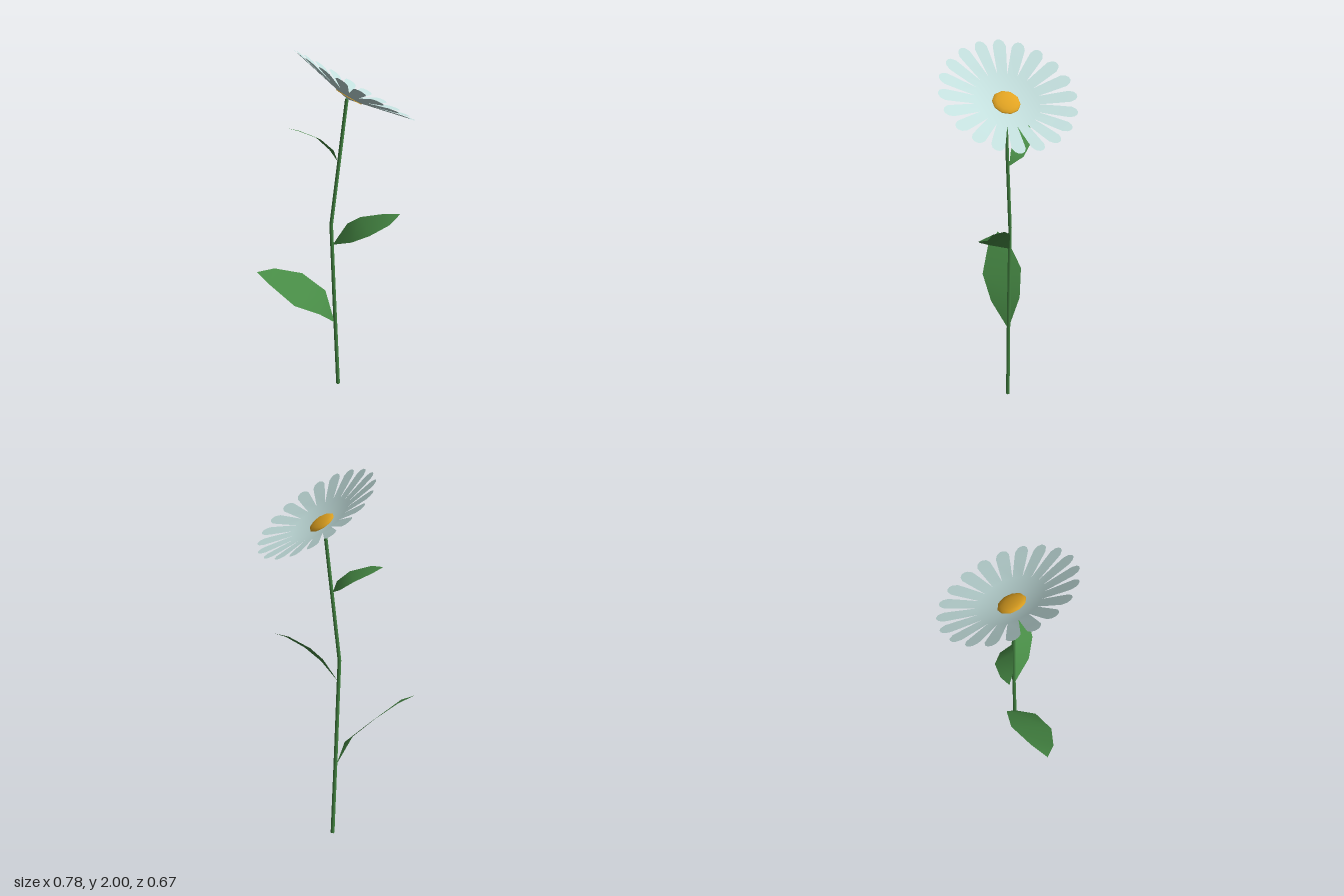
import * as THREE from 'three';
import { mergeGeometries, mergeVertices } from 'three/addons/utils/BufferGeometryUtils.js';

const colour = (name, hex, side = THREE.FrontSide) => {
  const m = new THREE.MeshStandardMaterial({ color: hex, side });
  m.name = name;
  return m;
};

// Smooth sheet spanned between two edges with equal point counts
function ribbon(a, b) {
  const index = [];
  for (let i = 0; i < a.length - 1; i++) {
    const p = 2 * i;
    index.push(p, p + 1, p + 2, p + 1, p + 3, p + 2);
  }
  const g = new THREE.BufferGeometry();
  g.setAttribute('position', new THREE.Float32BufferAttribute(a.flatMap((p, i) => [...p, ...b[i]]), 3));
  g.setIndex(index);
  return g;
}

function addMesh(parent, name, geometry, material) {
  const mesh = new THREE.Mesh(geometry, material);
  mesh.name = name;
  parent.add(mesh);
  return mesh;
}

export function createModel() {
  const root = new THREE.Group();
  root.name = 'daisy';
  const stemGreen = colour('stem green', 0x478a45);
  const leafGreen = colour('leaf green', 0x478a45, THREE.DoubleSide);
  const petalWhite = colour('petal pale blue', 0xc4e0de, THREE.DoubleSide);
  const yellow = colour('centre yellow', 0xe2a422);

  // Stem: a thin cylinder with its rings moved onto a bent path
  const path = [[0.038, 0, -0.032], [0.02, 0.55, -0.042], [0.006, 1.05, -0.053], [0.066, 1.757, 0]];
  const stem = new THREE.CylinderGeometry(0.009, 0.011, path.length - 1, 6, path.length - 1);
  const pos = stem.attributes.position;
  for (let i = 0; i < pos.count; i++) {
    const [x, y, z] = path[Math.round(pos.getY(i) + (path.length - 1) / 2)];
    pos.setXYZ(i, pos.getX(i) + x, y, pos.getZ(i) + z);
  }
  addMesh(root, 'stem', stem, stemGreen);

  // Leaves: base, three points on each edge, tip
  const leaves = {
    lowerLeaf: {
      base: [0.02, 0.43, -0.04], tip: [-0.392, 0.82, -0.14],
      a: [[-0.1, 0.555, 0.015], [-0.245, 0.65, 0.01], [-0.35, 0.77, -0.065]],
      b: [[0.0, 0.605, -0.115], [-0.115, 0.72, -0.17], [-0.28, 0.8, -0.163]],
    },
    middleLeaf: {
      base: [0.012, 0.93, -0.048], tip: [0.285, 1.157, 0.18],
      a: [[0.085, 1.055, -0.02], [0.135, 1.105, 0.03], [0.22, 1.148, 0.125]],
      b: [[0.055, 1.0, 0.085], [0.12, 1.06, 0.16], [0.212, 1.12, 0.2]],
    },
    upperLeaf: {
      base: [0.035, 1.415, -0.035], tip: [-0.162, 1.57, -0.204],
      a: [[0.018, 1.475, -0.048], [-0.035, 1.53, -0.085], [-0.125, 1.567, -0.153]],
      b: [[0.028, 1.45, -0.115], [-0.02, 1.505, -0.18], [-0.1, 1.545, -0.208]],
    },
  };
  for (const [name, { base, tip, a, b }] of Object.entries(leaves)) {
    const g = ribbon([base, ...a, tip], [base, ...b, tip]);
    g.computeVertexNormals();
    addMesh(root, name, g, leafGreen);
  }

  // Flower head, tilted towards +x
  const head = new THREE.Group();
  head.name = 'flowerHead';
  head.position.set(0.07, 1.753, 0);
  head.rotation.z = -0.588;
  root.add(head);

  // Petals: twenty tapered strips joined near the centre into a shallow cone
  const count = 20;
  const outline = [[0, 0], [0.157, 0.0249], [0.26, 0.031], [0.305, 0.033], [0.328, 0.023], [0.338, 0.008]];
  const edge = (s) => outline.map(([r, w]) => [r, 0.224 * Math.hypot(r, w), s * w]);
  const petals = [];
  for (let i = 0; i < count; i++) {
    petals.push(ribbon(edge(-1), edge(1)).rotateY(((i + 0.5) / count) * Math.PI * 2 - 0.012));
  }
  const corolla = mergeVertices(mergeGeometries(petals), 0.001);
  corolla.computeVertexNormals();
  addMesh(head, 'petals', corolla, petalWhite);

  // Centre: a flattened dome
  const dome = new THREE.SphereGeometry(0.072, 10, 4, 0, Math.PI * 2, 0, Math.PI / 2);
  dome.scale(1, 0.3, 1);
  addMesh(head, 'flowerCentre', dome, yellow).position.y = 0.012;

  return root;
}
